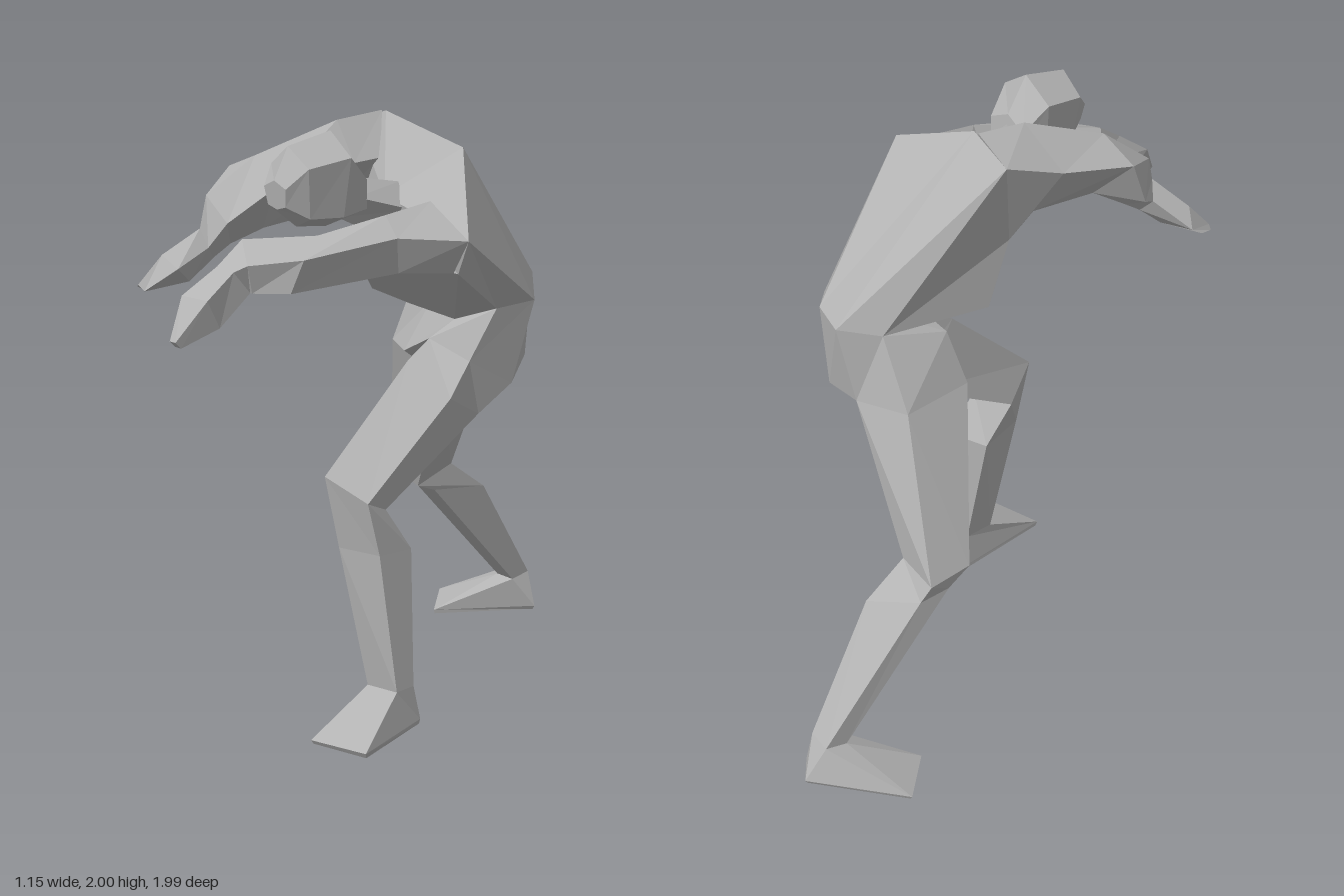
import * as THREE from 'three';

// Closed faceted skin over matching cross-sections; ends are fans to a centre point.
function loft(rings, startPoint, endPoint) {
  const mid = r => [0, 1, 2].map(k => r.reduce((s, p) => s + p[k], 0) / r.length);
  const n = rings[0].length, tris = [];
  const first = rings[0], last = rings[rings.length - 1];
  const c0 = startPoint || mid(first), c1 = endPoint || mid(last);
  for (let j = 0; j < n; j++) {
    const k = (j + 1) % n;
    for (let i = 0; i < rings.length - 1; i++) {
      const a = rings[i], b = rings[i + 1];
      tris.push([a[j], a[k], b[k]], [a[j], b[k], b[j]]);
    }
    tris.push([c0, first[k], first[j]], [c1, last[j], last[k]]);
  }
  // Turn the faces outward whichever way the sections run
  const [ox, oy, oz] = mid(first);
  let volume = 0;
  for (const t of tris) {
    const [a, b, c] = t.map(p => new THREE.Vector3(p[0] - ox, p[1] - oy, p[2] - oz));
    volume += a.dot(b.cross(c));
  }
  if (volume < 0) tris.forEach(t => t.reverse());
  const g = new THREE.BufferGeometry();
  g.setAttribute('position', new THREE.Float32BufferAttribute(tris.flat(2), 3));
  g.computeVertexNormals();
  return g;
}

// Six-sided section of the head, standing across z
function headRing(x, yLow, yHigh, z, rx, lean = 0) {
  const cy = (yLow + yHigh) / 2, ry = (yHigh - yLow) / 2;
  return [[0, 1], [1, 0.5], [0.8, -0.75], [0, -1], [-0.8, -0.75], [-1, 0.5]]
    .map(([u, v]) => [x + u * rx, cy + v * ry, z + v * lean]);
}

export function createModel() {
  const model = new THREE.Group();
  const clay = new THREE.MeshStandardMaterial({ color: 0xb3b3b3, flatShading: true });
  clay.name = 'grey clay';
  const add = (name, ...args) => {
    const mesh = new THREE.Mesh(loft(...args), clay);
    mesh.name = name;
    model.add(mesh);
  };

  // Trunk sections run front right, front, left, back, right
  const hips = [[-0.145, 1.19, -0.17], [0, 1.185, -0.1], [0.165, 1.26, -0.07], [0.31, 1.2, -0.12],
    [0.31, 1.1, -0.31], [0.19, 1.15, -0.48], [0.03, 1.17, -0.49], [-0.15, 1.18, -0.42]];
  const sides = [[0.2, 1.32, -0.15], [0.34, 1.37, -0.21], [0.35, 1.38, -0.37],
    [0.21, 1.44, -0.49], [0.07, 1.44, -0.53], [-0.03, 1.42, -0.42]];
  const waist = [[-0.09, 1.38, -0.21], [0.05, 1.36, -0.18], ...sides];
  const belly = [[-0.085, 1.395, -0.03], [0.045, 1.355, -0.09], ...sides];
  const shoulders = [[-0.09, 1.62, 0.05], [0.06, 1.59, 0.18], [0.25, 1.58, 0.18], [0.5, 1.545, 0.1],
    [0.57, 1.66, 0.12], [0.28, 1.9, -0.11], [0, 2, -0.02], [-0.18, 1.95, -0.04]];
  add('pelvis', [hips, waist], [0.05, 1.05, -0.27]);
  add('torso', [belly, shoulders], null, [0.2, 1.76, 0.15]);

  // Neck and head, bent forward
  add('neck', [
    [[0.2, 1.8, 0.09], [0.28, 1.72, 0.1], [0.2, 1.62, 0.14], [0.12, 1.72, 0.1]],
    [[0.2, 1.84, 0.32], [0.27, 1.78, 0.32], [0.2, 1.71, 0.34], [0.13, 1.78, 0.32]],
  ]);
  add('head', [
    headRing(0.2, 1.72, 1.87, 0.28, 0.08, 0.01),
    headRing(0.205, 1.69, 1.985, 0.38, 0.11, -0.01),
    headRing(0.205, 1.7, 1.95, 0.52, 0.095, 0.015),
    headRing(0.205, 1.76, 1.85, 0.583, 0.055, 0.005),
  ]);

  // Left arm, reaching straight forward
  const leftWrist = [[0.2, 1.61, 0.8], [0.27, 1.6, 0.79], [0.27, 1.53, 0.73], [0.2, 1.53, 0.72]];
  add('leftArm', [
    [[0.4, 1.765, 0.13], [0.57, 1.66, 0.12], [0.5, 1.55, 0.12], [0.3, 1.6, 0.18]],
    [[0.4, 1.74, 0.31], [0.48, 1.68, 0.33], [0.45, 1.565, 0.3], [0.33, 1.57, 0.32]],
    [[0.33, 1.69, 0.52], [0.42, 1.64, 0.64], [0.38, 1.535, 0.66], [0.3, 1.57, 0.5]],
    [[0.19, 1.68, 0.7], [0.3, 1.62, 0.76], [0.28, 1.53, 0.73], [0.16, 1.58, 0.69]],
    leftWrist,
  ]);
  add('leftHand', [leftWrist,
    [[0.17, 1.53, 0.91], [0.29, 1.53, 0.9], [0.28, 1.44, 0.85], [0.19, 1.44, 0.85]],
    [[0.22, 1.41, 0.99], [0.25, 1.41, 0.99], [0.25, 1.39, 0.97], [0.22, 1.39, 0.97]],
  ]);

  // Right arm, raised with a bent elbow
  const rightWrist = [[-0.15, 1.66, 0.62], [-0.12, 1.6, 0.61], [-0.15, 1.56, 0.57], [-0.21, 1.62, 0.57]];
  add('rightArm', [
    [[-0.02, 2, -0.02], [0.07, 1.86, 0.06], [-0.09, 1.62, 0.05], [-0.18, 1.95, -0.04]],
    [[-0.03, 1.98, 0.16], [0.06, 1.85, 0.16], [-0.08, 1.68, 0.16], [-0.22, 1.88, 0.16]],
    [[-0.11, 1.88, 0.43], [0.03, 1.79, 0.46], [-0.08, 1.65, 0.42], [-0.265, 1.83, 0.42]],
    [[-0.17, 1.76, 0.58], [-0.07, 1.68, 0.57], [-0.14, 1.6, 0.51], [-0.245, 1.66, 0.5]],
    rightWrist,
  ]);
  add('rightHand', [rightWrist,
    [[-0.25, 1.57, 0.7], [-0.145, 1.54, 0.71], [-0.17, 1.49, 0.65], [-0.32, 1.53, 0.65]],
    [[-0.27, 1.48, 0.78], [-0.25, 1.46, 0.77], [-0.27, 1.455, 0.75], [-0.29, 1.47, 0.77]],
  ]);

  // Left leg, stepping forward; it grows out of the hip section
  const leftKnee = [[0.165, 0.865, 0.37], [0.3, 0.79, 0.3], [0.28, 0.75, 0.21], [0.11, 0.77, 0.24]];
  const leftAnkle = [[0.235, 0.14, 0.25], [0.35, 0.14, 0.22], [0.34, 0.14, 0.14], [0.235, 0.14, 0.14]];
  add('leftThigh', [
    [hips[2], hips[3], hips[4], [0.1, 1.06, -0.28]],
    [[0.165, 1.2, 0.02], [0.32, 1.09, -0.03], [0.29, 1.01, -0.18], [0.1, 1.02, -0.17]],
    leftKnee,
  ], [0.2, 1.2, -0.25]);
  add('leftShin', [leftKnee,
    [[0.18, 0.62, 0.325], [0.31, 0.61, 0.26], [0.29, 0.6, 0.11], [0.15, 0.6, 0.16]],
    leftAnkle,
  ]);
  add('leftFoot', [leftAnkle,
    [[0.25, 0.015, 0.5], [0.46, 0.02, 0.44], [0.34, 0.015, 0.11], [0.225, 0.015, 0.12]],
    [[0.25, 0, 0.49], [0.45, 0, 0.43], [0.34, 0, 0.115], [0.225, 0, 0.12]],
  ]);

  // Right leg, trailing behind; it grows out of the hip section
  const rightKnee = [[-0.37, 0.66, -0.35], [-0.22, 0.61, -0.35], [-0.21, 0.67, -0.5], [-0.37, 0.65, -0.51]];
  const rightAnkle = [[-0.335, 0.14, -0.85], [-0.25, 0.14, -0.85], [-0.24, 0.16, -0.92], [-0.33, 0.16, -0.93]];
  add('rightThigh', [
    [hips[0], [0.03, 1.05, -0.25], hips[6], hips[7]],
    rightKnee,
  ], [-0.04, 1.22, -0.32]);
  add('rightShin', [rightKnee,
    [[-0.36, 0.6, -0.43], [-0.22, 0.58, -0.43], [-0.2, 0.56, -0.65], [-0.35, 0.59, -0.54]],
    rightAnkle,
  ]);
  add('rightFoot', [rightAnkle,
    [[-0.58, 0.03, -0.77], [-0.44, 0.015, -0.62], [-0.21, 0.025, -0.93], [-0.3, 0.035, -1]],
    [[-0.57, 0.015, -0.77], [-0.44, 0, -0.625], [-0.22, 0.01, -0.93], [-0.3, 0.02, -0.99]],
  ]);

  return model;
}
